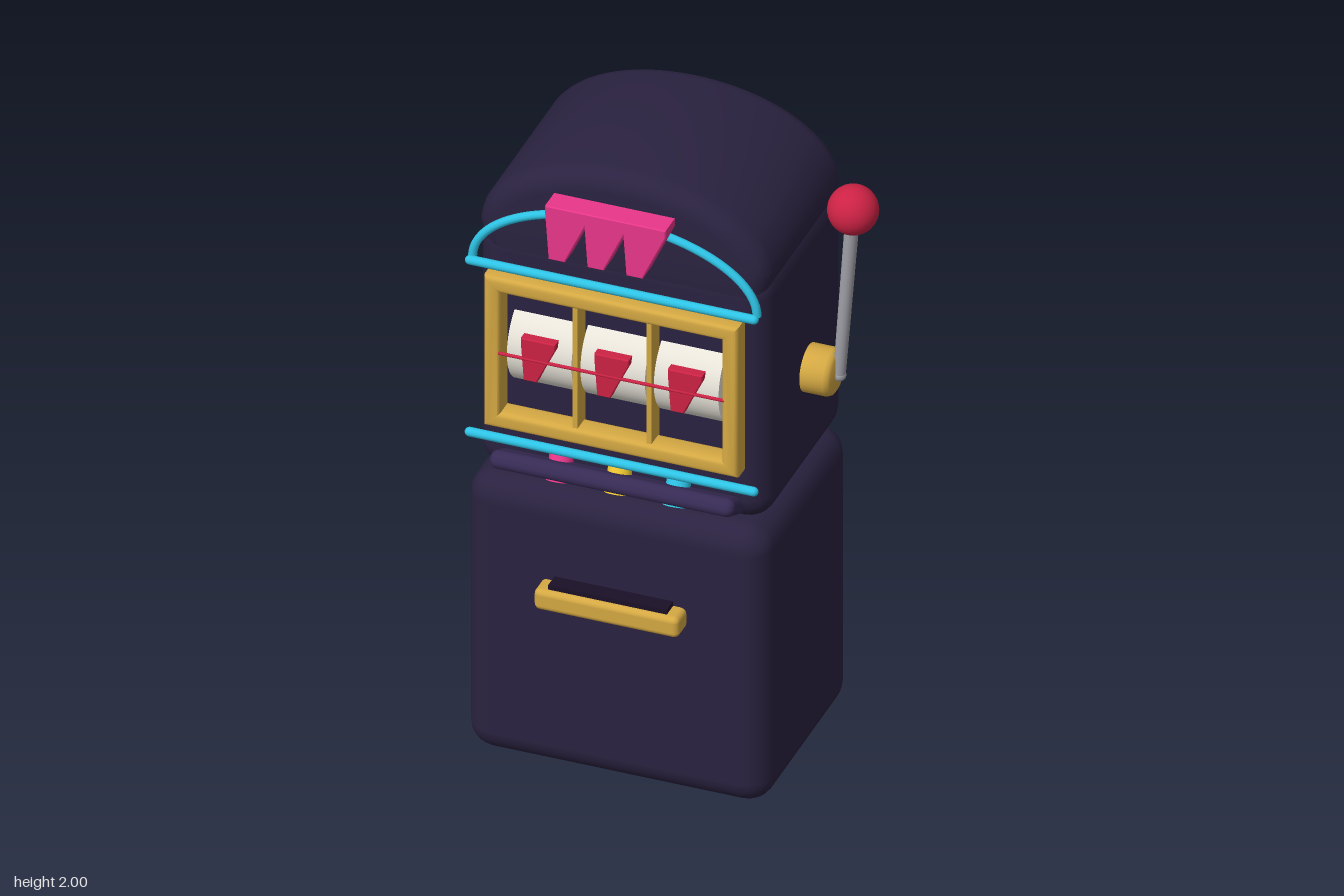
import * as THREE from 'three';
import { RoundedBoxGeometry } from 'three/addons/geometries/RoundedBoxGeometry.js';
import { toCreasedNormals } from 'three/addons/utils/BufferGeometryUtils.js';

const CX = -0.108; // centre line of the cabinet
const paint = (color) => new THREE.MeshStandardMaterial({ color });

export function createModel() {
  const model = new THREE.Group();
  const dark = paint(0x2a2240), purple = paint(0x372b55), black = paint(0x1a1028);
  const gold = paint(0xd4a843), cyan = paint(0x2ec4e6), pink = paint(0xe8368a);
  const yellow = paint(0xf0c830), red = paint(0xcc2244), cream = paint(0xe8e4da), steel = paint(0xa0a0a8);

  function add(name, geometry, material, x = 0, y = 0, z = 0) {
    const mesh = new THREE.Mesh(geometry, material);
    mesh.name = name;
    mesh.position.set(x, y, z);
    model.add(mesh);
    return mesh;
  }
  const rounded = (w, h, d, r, seg = 3) => new RoundedBoxGeometry(w, h, d, seg, r);

  // Extrusion whose bevelled faces end exactly at z = 0 and z = depth
  function bevelled(shape, depth, bevel, segments, inset = bevel) {
    const g = new THREE.ExtrudeGeometry(shape, {
      depth: depth - 2 * bevel, bevelThickness: bevel, bevelSize: inset, bevelOffset: -inset,
      bevelSegments: segments, curveSegments: 32,
    });
    g.translate(0, 0, bevel);
    return toCreasedNormals(g, 0.6);
  }

  // Cabinet bodies
  add('baseCabinet', rounded(0.918, 0.925, 0.67, 0.08), dark, CX, 0.4625, -0.034);
  add('upperCabinet', rounded(0.886, 0.83, 0.625, 0.08), dark, CX, 1.335, -0.0625);

  // Domed top, reaching down inside the upper cabinet
  const dome = new THREE.Shape();
  dome.moveTo(-0.41, 1.62);
  dome.lineTo(0.41, 1.62);
  dome.lineTo(0.441, 1.74);
  dome.absellipse(0, 1.74, 0.441, 0.26, 0, Math.PI, false);
  dome.closePath();
  add('domeTop', bevelled(dome, 0.62, 0.06, 4), dark, CX, 0, -0.372);

  // Window frame and dividers
  const rect = (Type, w, h) => {
    const s = new Type();
    s.moveTo(-w / 2, -h / 2);
    s.lineTo(w / 2, -h / 2);
    s.lineTo(w / 2, h / 2);
    s.lineTo(-w / 2, h / 2);
    s.closePath();
    return s;
  };
  const frame = rect(THREE.Shape, 0.772, 0.504);
  frame.holes.push(rect(THREE.Path, 0.672, 0.404));
  add('windowFrame', bevelled(frame, 0.075, 0.015, 3), gold, CX - 0.003, 1.372, 0.248);
  for (const x of [-0.222, 0.002])
    add('windowDivider', new THREE.BoxGeometry(0.016, 0.42, 0.06), gold, x, 1.372, 0.28);

  // Pennant ornament: wide on top, tapering to a narrow foot
  function pennant(w, h) {
    const s = new THREE.Shape();
    s.moveTo(-0.42 * w, -h / 2);
    s.lineTo(-0.04 * w, -h / 2);
    s.lineTo(0.5 * w, h * 0.36);
    s.lineTo(0.5 * w, h / 2);
    s.lineTo(-0.5 * w, h / 2);
    s.lineTo(-0.5 * w, h * 0.33);
    s.lineTo(0.1 * w, h * 0.33);
    s.closePath();
    // solid infill keeps the ornament a simple wedge
    s.curves.splice(5, 2, new THREE.LineCurve(new THREE.Vector2(-0.5 * w, h * 0.33), new THREE.Vector2(-0.42 * w, -h / 2)));
    return s;
  }

  // Reels with their symbols, and the marquee ornaments above
  for (let i = -1; i <= 1; i++) {
    const x = CX + i * 0.223;
    const reel = add('reel', new THREE.CylinderGeometry(0.14, 0.14, 0.196, 48), cream, x, 1.37, 0.17);
    reel.rotation.z = Math.PI / 2;
    add('reelSymbol', bevelled(pennant(0.105, 0.14), 0.035, 0.003, 1), red, x, 1.37, 0.285);
    add('marqueePennant', bevelled(pennant(0.13, 0.178), 0.076, 0.003, 1), pink, CX + 0.003 + i * 0.118, 1.852, 0.3);
  }

  // Straight bar with its axis along x
  function bar(name, material, length, r, y, z) {
    const m = add(name, new THREE.CapsuleGeometry(r, length - 2 * r, 6, 12), material, CX, y, z);
    m.rotation.z = Math.PI / 2;
  }
  bar('payLine', red, 0.69, 0.005, 1.372, 0.317);
  bar('upperNeonBar', cyan, 0.89, 0.014, 1.665, 0.316);
  bar('lowerNeonBar', cyan, 0.89, 0.014, 1.088, 0.318);

  // Neon arch over the dome front
  const archPoints = [];
  for (let i = 0; i <= 24; i++) {
    const a = (Math.PI * i) / 24;
    archPoints.push(new THREE.Vector3(0.432 * Math.cos(a), 1.663 + 0.22 * Math.sin(a), 0));
  }
  add('neonArch', new THREE.TubeGeometry(new THREE.CatmullRomCurve3(archPoints), 64, 0.013, 10), cyan, CX, 0, 0.293);

  // Tilted button console
  const tilt = -0.45;
  add('buttonConsole', rounded(0.742, 0.055, 0.16, 0.025), purple, CX, 0.985, 0.258).rotation.x = tilt;
  [pink, yellow, cyan].forEach((material, i) => {
    const b = add('button', new THREE.CylinderGeometry(0.036, 0.036, 0.085, 24), material, CX + (i - 1) * 0.178, 0.997, 0.262);
    b.rotation.x = tilt;
  });

  // Coin tray
  add('coinTray', rounded(0.44, 0.068, 0.1, 0.018), gold, CX, 0.601, 0.317);
  add('coinTrayLining', new THREE.BoxGeometry(0.36, 0.05, 0.06), black, CX, 0.625, 0.32);

  // Side lever: hub, arm and knob
  const hubProfile = [[0, 0], [0.072, 0], [0.072, 0.07], [0.066, 0.082], [0.055, 0.088], [0, 0.088]]
    .map(([r, h]) => new THREE.Vector2(r, h));
  const hub = add('leverHub', toCreasedNormals(new THREE.LatheGeometry(hubProfile, 32), 0.7), gold, 0.342, 1.285, -0.06);
  hub.rotation.z = -Math.PI / 2;

  const foot = new THREE.Vector3(0.435, 1.28, -0.062);
  const head = new THREE.Vector3(0.488, 1.865, -0.033);
  const along = head.clone().sub(foot);
  const middle = foot.clone().add(head).multiplyScalar(0.5);
  const arm = add('leverArm', new THREE.CylinderGeometry(0.021, 0.018, along.length(), 20), steel, middle.x, middle.y, middle.z);
  arm.quaternion.setFromUnitVectors(new THREE.Vector3(0, 1, 0), along.normalize());
  add('leverFoot', new THREE.SphereGeometry(0.02, 16, 12), steel, foot.x, foot.y, foot.z);
  add('leverKnob', new THREE.SphereGeometry(0.074, 32, 24), red, head.x, head.y, head.z);

  return model;
}
